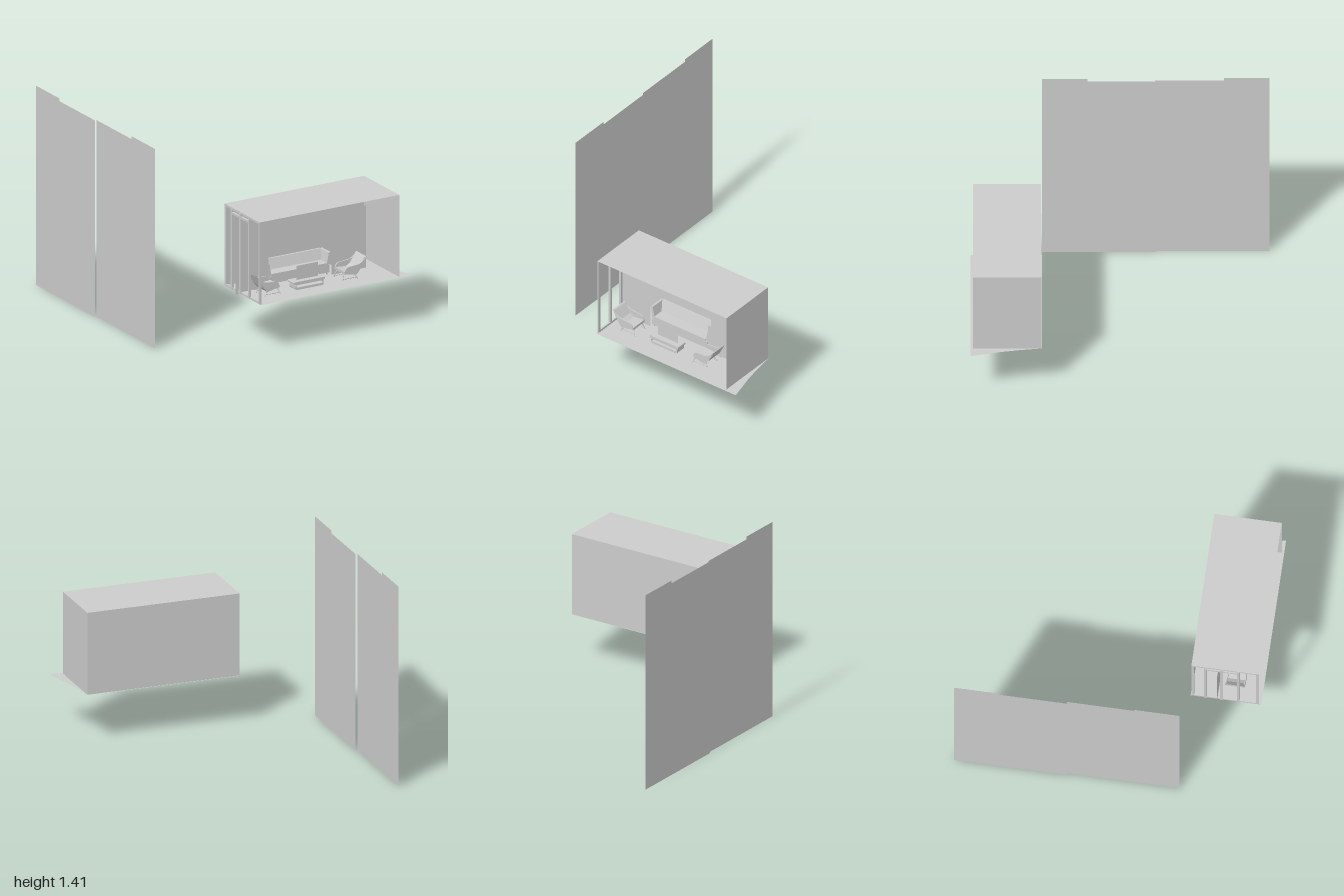
import * as THREE from 'three';

const mat = new THREE.MeshStandardMaterial({ color: 0xcccccc, side: THREE.DoubleSide, flatShading: true });
const FLOOR = 0.35, ROOF = 0.93, BACK = 0.525, FRONT = 0.98;
const LEFT = 0.775, RIGHT = -0.315, MID = 0.165;

function add(parent, name, geo) {
  const m = new THREE.Mesh(geo, mat);
  m.name = name;
  parent.add(m);
  return m;
}

// box given by its limits on each axis
function box(parent, name, x0, x1, y0, y1, z0, z1) {
  const m = add(parent, name, new THREE.BoxGeometry(x1 - x0, y1 - y0, z1 - z0));
  m.position.set((x0 + x1) / 2, (y0 + y1) / 2, (z0 + z1) / 2);
  return m;
}

// flat outline from a few points
function outline(points) {
  return new THREE.Shape(points.map(([a, b]) => new THREE.Vector2(a, b)));
}

// upright sheet facing the front
function sheet(parent, name, x0, x1, y0, y1, z) {
  const m = add(parent, name, new THREE.PlaneGeometry(x1 - x0, y1 - y0));
  m.position.set((x0 + x1) / 2, (y0 + y1) / 2, z);
  return m;
}

// thin rod between two points
function rod(parent, name, a, b, r0, r1) {
  const p = new THREE.Vector3(...a), q = new THREE.Vector3(...b);
  const m = add(parent, name, new THREE.CylinderGeometry(r1, r0, p.distanceTo(q), 8));
  m.position.copy(p).add(q).multiplyScalar(0.5);
  m.quaternion.setFromUnitVectors(new THREE.Vector3(0, 1, 0), q.sub(p).normalize());
  return m;
}

// two tall stepped sheets standing beside the room
function backdrop() {
  const g = new THREE.Group();
  g.name = 'backdropPanels';
  const halves = [
    ['frontBackdrop', -0.853, [[0.52, 0], [0.52, 1.41], [0.215, 1.41], [0.215, 1.39], [-0.237, 1.39], [-0.237, 0]]],
    ['rearBackdrop', -0.866, [[-0.237, 0], [-0.237, 1.39], [-0.695, 1.39], [-0.695, 1.41], [-1, 1.41], [-1, 0]]],
  ];
  for (const [name, x, pts] of halves) {
    const m = add(g, name, new THREE.ShapeGeometry(outline(pts.map(([z, y]) => [-z, y]))));
    m.rotation.y = Math.PI / 2;
    m.position.x = x;
  }
  return g;
}

// room shell, open at the front and framed on the right side
function room() {
  const g = new THREE.Group();
  g.name = 'room';
  const floor = add(g, 'floor', new THREE.ShapeGeometry(outline(
    [[RIGHT, -0.52], [LEFT, -0.52], [0.795, -0.67], [0.818, -0.8], [0.865, -0.997], [RIGHT, -0.997]])));
  floor.rotation.x = -Math.PI / 2;
  floor.position.y = FLOOR;
  const roof = add(g, 'roof', new THREE.PlaneGeometry(LEFT - RIGHT, FRONT - BACK));
  roof.rotation.x = -Math.PI / 2;
  roof.position.set((LEFT + RIGHT) / 2, ROOF, (FRONT + BACK) / 2);
  sheet(g, 'backWall', RIGHT, LEFT, FLOOR, ROOF, BACK);
  const side = add(g, 'sideWall', new THREE.PlaneGeometry(FRONT - BACK, ROOF - FLOOR));
  side.rotation.y = Math.PI / 2;
  side.position.set(LEFT, (ROOF + FLOOR) / 2, (FRONT + BACK) / 2);

  // window wall: fixed posts, rails and a door frame
  const x0 = RIGHT, x1 = RIGHT + 0.012;
  for (const z of [BACK, FRONT - 0.018]) box(g, 'windowPost', x0, x1, FLOOR, ROOF, z, z + 0.018);
  for (const y of [FLOOR, ROOF - 0.015]) box(g, 'windowRail', x0, x1, y, y + 0.015, BACK, FRONT);
  for (const z of [0.61, 0.72, 0.832]) box(g, 'doorPost', x0 - 0.004, x1, FLOOR, ROOF - 0.01, z, z + 0.018);
  box(g, 'doorRail', x0 - 0.004, x1, 0.885, 0.9, 0.61, 0.85);
  return g;
}

function sofa() {
  const g = new THREE.Group();
  g.name = 'sofa';
  box(g, 'sofaBase', -0.07, 0.4, 0.368, 0.42, 0.59, 0.7);
  box(g, 'sofaSeat', -0.05, 0.38, 0.42, 0.435, 0.59, 0.7);
  // leaning backrest
  const back = add(g, 'sofaBack', new THREE.ExtrudeGeometry(
    outline([[-0.62, 0.425], [-0.59, 0.425], [-0.575, 0.505], [-0.59, 0.505]].map(([z, y]) => [z, y])),
    { depth: 0.46, bevelEnabled: false }));
  back.rotation.y = Math.PI / 2;
  back.position.x = MID - 0.23;
  for (const s of [-1, 1]) {
    // flared armrest
    const arm = add(g, 'sofaArm', new THREE.ExtrudeGeometry(
      outline([[0.215, 0.42], [0.235, 0.42], [0.246, 0.507], [0.232, 0.505]].map(([x, y]) => [s * x, y])),
      { depth: 0.11, bevelEnabled: false }));
    arm.position.set(MID, 0, 0.585);
    for (const z of [0.605, 0.685]) {
      rod(g, 'sofaLeg', [MID + s * 0.225, FLOOR, z], [MID + s * 0.215, 0.37, z], 0.004, 0.006);
    }
  }
  return g;
}

function table() {
  const g = new THREE.Group();
  g.name = 'coffeeTable';
  // rounded loop seen from the front, with a tray top
  const loop = (w, y0, y1, r, T) => {
    const s = new T();
    s.moveTo(-w + r, y0);
    s.lineTo(w - r, y0); s.quadraticCurveTo(w, y0, w, y0 + r);
    s.lineTo(w, y1 - r); s.quadraticCurveTo(w, y1, w - r, y1);
    s.lineTo(-w + r, y1); s.quadraticCurveTo(-w, y1, -w, y1 - r);
    s.lineTo(-w, y0 + r); s.quadraticCurveTo(-w, y0, -w + r, y0);
    return s;
  };
  const frame = loop(0.11, FLOOR, 0.39, 0.012, THREE.Shape);
  frame.holes.push(loop(0.103, 0.366, 0.384, 0.006, THREE.Path));
  const opts = { depth: 0.08, bevelEnabled: false, curveSegments: 4 };
  add(g, 'tableFrame', new THREE.ExtrudeGeometry(frame, opts)).position.set(0.15, 0, 0.775);
  add(g, 'tableTop', new THREE.ExtrudeGeometry(loop(0.12, 0.388, 0.406, 0.006, THREE.Shape), opts)).position.set(0.15, 0, 0.775);
  return g;
}

// armchair facing +x, back leaning outward; local x runs from the back
function chair(name) {
  const g = new THREE.Group();
  g.name = name;
  const wing = new THREE.Shape();
  wing.moveTo(0, 0.5);
  wing.quadraticCurveTo(0.03, 0.455, 0.075, 0.452);
  wing.lineTo(0.14, 0.447);
  wing.quadraticCurveTo(0.165, 0.44, 0.17, 0.405);
  wing.lineTo(0.075, 0.385);
  wing.quadraticCurveTo(0.045, 0.41, 0, 0.5);
  for (const z of [-0.065, 0.057]) {
    add(g, 'chairWing', new THREE.ExtrudeGeometry(wing, { depth: 0.008, bevelEnabled: false, curveSegments: 5 })).position.z = z;
  }
  const shell = add(g, 'chairShell', new THREE.ExtrudeGeometry(
    outline([[0, 0.5], [0.04, 0.42], [0.075, 0.385], [0.17, 0.4], [0.17, 0.418], [0.085, 0.41], [0.055, 0.43], [0.01, 0.495]]),
    { depth: 0.12, bevelEnabled: false }));
  shell.position.z = -0.06;
  for (const z of [-0.05, 0.05]) {
    rod(g, 'chairLeg', [0.06, FLOOR, z * 1.15], [0.085, 0.392, z * 0.8], 0.003, 0.005);
    rod(g, 'chairLeg', [0.18, FLOOR, z * 1.15], [0.16, 0.405, z * 0.8], 0.003, 0.005);
    rod(g, 'chairRunner', [0.06, 0.362, z], [0.175, 0.362, z], 0.003, 0.003);
  }
  return g;
}

export function createModel() {
  const model = new THREE.Group();
  model.name = 'lounge';
  model.add(backdrop(), room(), sofa(), table());

  const rightChair = chair('rightChair');
  rightChair.position.set(-0.265, 0, 0.81);
  const leftChair = chair('leftChair');
  leftChair.rotation.y = Math.PI;
  leftChair.position.set(0.58, 0, 0.81);
  model.add(rightChair, leftChair);

  // upright sheets standing in the room
  sheet(model, 'tallScreen', -0.335, -0.08, 0.34, 0.79, 0.7);
  sheet(model, 'tallScreen', 0.43, 0.685, 0.34, 0.79, 0.7);
  sheet(model, 'lowScreen', -0.195, -0.08, 0.34, 0.565, 0.707);
  sheet(model, 'lowScreen', 0.41, 0.525, 0.34, 0.565, 0.707);
  sheet(model, 'tableScreen', 0.07, 0.24, 0.4, 0.505, 0.815);
  return model;
}
